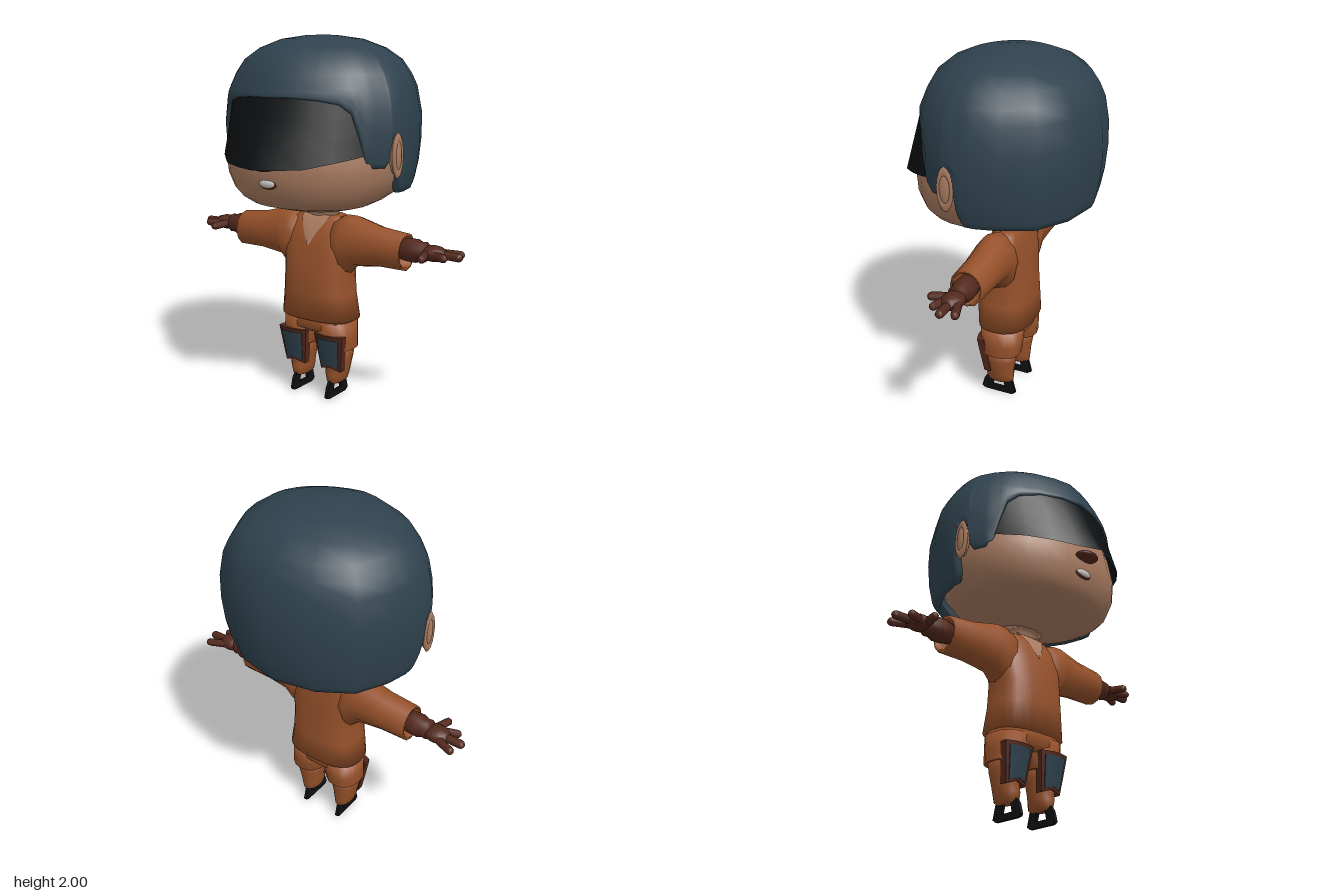
import * as THREE from 'three';
import { mergeGeometries } from 'three/addons/utils/BufferGeometryUtils.js';

const C = { helmet: 0x2f424e, suit: 0x96512a, skin: 0xa87b60, glove: 0x53281c, black: 0x0d1012, teeth: 0xc8c4c0 };
const mat = Object.fromEntries(Object.entries(C).map(([k, color]) =>
  [k, new THREE.MeshStandardMaterial({ color, side: THREE.DoubleSide })]));

// Skin a list of point rows, bottom to top; rows may close round and be capped.
function loft(rows, closed = true, capBottom = closed, capTop = closed) {
  const n = rows[0].length, pos = rows.flat(2), idx = [];
  const m = closed ? n : n - 1;
  for (let i = 0; i < rows.length - 1; i++) for (let j = 0; j < m; j++) {
    const a = i * n + j, b = i * n + (j + 1) % n;
    idx.push(a, b, a + n, b, b + n, a + n);
  }
  const cap = (row, start, up) => {
    const c = pos.length / 3;
    pos.push(...[0, 1, 2].map(k => row.reduce((s, p) => s + p[k], 0) / n));
    for (let j = 0; j < n; j++) {
      const a = start + j, b = start + (j + 1) % n;
      idx.push(...(up ? [a, b, c] : [b, a, c]));
    }
  };
  if (capBottom) cap(rows[0], 0, false);
  if (capTop) cap(rows[rows.length - 1], (rows.length - 1) * n, true);
  const g = new THREE.BufferGeometry();
  g.setAttribute('position', new THREE.Float32BufferAttribute(pos, 3));
  g.setIndex(idx);
  g.computeVertexNormals();
  return g;
}

// Rounded cross-section at height y, p = 2 is an ellipse, higher is boxier.
function ring(y, rx, zf, zb, cx = 0, n = 20, p = 2) {
  const f = v => Math.sign(v) * Math.abs(v) ** (2 / p);
  return Array.from({ length: n }, (_, i) => {
    const a = i / n * Math.PI * 2;
    return [cx + rx * f(Math.sin(a)), y, (zf + zb) / 2 + (zf - zb) / 2 * f(Math.cos(a))];
  });
}

// Cross-section across the arm at x.
const armRing = (x, top, bottom, zf, zb, n = 12) =>
  ring(x, (zf - zb) / 2, top, bottom, (zf + zb) / 2, n).map(([a, b, c]) => [b, c, a]);

function ball(x, y, z, rx, ry, rz) {
  return new THREE.SphereGeometry(1, 14, 10).scale(rx, ry, rz).translate(x, y, z);
}

function finger(from, to, r) {
  const a = new THREE.Vector3(...from), b = new THREE.Vector3(...to), d = b.clone().sub(a);
  const q = new THREE.Quaternion().setFromUnitVectors(new THREE.Vector3(0, 1, 0), d.clone().normalize());
  return new THREE.CapsuleGeometry(r, d.length(), 3, 8).applyQuaternion(q)
    .translate(...a.add(b).multiplyScalar(0.5).toArray());
}

function mirrored(g) {
  const m = g.clone().scale(-1, 1, 1);
  const idx = m.index ? [...m.index.array] : Array.from({ length: m.attributes.position.count }, (_, i) => i);
  for (let i = 0; i < idx.length; i += 3) [idx[i], idx[i + 1]] = [idx[i + 1], idx[i]];
  m.setIndex(idx);
  return m;
}

function helmetGeometry() {
  // Half outline from brow to back: x, z and height of the lower edge.
  const half = [[0, .435, 1.685], [.13, .41, 1.685], [.26, .36, 1.675], [.36, .3, 1.655], [.41, .26, 1.61],
    [.435, .235, 1.5], [.46, .205, 1.36], [.485, .175, 1.34], [.52, .11, 1.34], [.53, .095, 1.37],
    [.535, .085, 1.48], [.545, .05, 1.5], [.55, .02, 1.47], [.552, .01, 1.26], [.555, -.02, 1.2],
    [.555, -.08, 1.2], [.525, -.21, 1.2], [.435, -.39, 1.2], [.25, -.505, 1.2], [0, -.555, 1.2]];
  const cols = [...half, ...half.slice(1, -1).reverse().map(([x, z, y]) => [-x, z, y])];
  const prof = [[1.1, .88], [1.2, .92], [1.37, .985], [1.54, 1], [1.7, .967], [1.8, .88], [1.87, .79],
    [1.93, .63], [1.975, .41], [1.995, .15], [2, 0]];
  const scale = y => {
    const i = Math.max(1, prof.findIndex(p => p[0] >= y)), [a, b] = [prof[i - 1], prof[i]];
    return a[1] + (b[1] - a[1]) * (y - a[0]) / (b[0] - a[0]);
  };
  const row = (height, k = 1) => cols.map(([x, z, yb]) => {
    const y = height(yb), s = scale(y) * k;
    return [x * s, y, -.05 + (z + .05) * s];
  });
  const rows = [row(yb => yb + .03, .9), row(yb => yb, .93), row(yb => yb, .985)];
  for (const t of [.06, .25, .5, .75, 1]) rows.push(row(yb => yb + (1.73 - yb) * t));
  for (const y of [1.8, 1.87, 1.93, 1.975, 1.995]) rows.push(row(() => y));
  return loft(rows, true, false, true);
}

// Curved, tapering plate over the shin.
function padGeometry(wTop, wBottom, y0, y1, depth, z) {
  const g = new THREE.BoxGeometry(1, 1, depth, 6, 3, 1), p = g.attributes.position;
  for (let i = 0; i < p.count; i++) {
    const t = p.getY(i) + .5, x = p.getX(i) * (wBottom + (wTop - wBottom) * t);
    const y = y0 + (y1 - y0) * t - (1 - t) * Math.abs(x) * .3;
    p.setXYZ(i, .122 + x, y, p.getZ(i) + z + (y - .27) * .2 - 2.5 * x * x);
  }
  g.computeVertexNormals();
  return g;
}

export function createModel() {
  const model = new THREE.Group();
  const add = (name, g, m) => {
    const mesh = new THREE.Mesh(g, mat[m]);
    mesh.name = name;
    model.add(mesh);
  };
  const pair = (name, g, m) => {
    add('left' + name, g, m);
    add('right' + name, mirrored(g), m);
  };

  // Head, face and neck
  add('head', loft([[1.065, .08, .03, -.15], [1.085, .22, .2, -.18], [1.115, .33, .32, -.24], [1.15, .4, .37, -.31],
    [1.19, .45, .4, -.39], [1.27, .495, .425, -.45], [1.36, .51, .43, -.47], [1.5, .505, .4, -.47],
    [1.65, .47, .35, -.44], [1.76, .36, .25, -.34]].map(r => ring(...r, 0, 28, 2.1))), 'skin');
  add('neck', loft([[.94, .09, .0, -.15], [1.03, .09, .0, -.15], [1.06, .1, .015, -.16], [1.09, .17, .08, -.2]]
    .map(r => ring(...r))), 'skin');
  add('nose', ball(0, 1.345, .445, .07, .025, .05), 'glove');
  add('lips', ball(0, 1.255, .412, .058, .029, .016), 'glove');
  add('teeth', ball(0, 1.255, .417, .05, .022, .016), 'teeth');
  pair('Ear', mergeGeometries([ball(.53, 1.4, .055, .028, .1, .042),
    new THREE.TorusGeometry(.036, .011, 6, 16).scale(1, 2.5, 1).rotateY(Math.PI / 2).translate(.543, 1.4, .055)]), 'skin');

  // Helmet and visor
  add('helmet', helmetGeometry(), 'helmet');
  const v = [[0, .4, .55, 1.34], [.12, .385, .5, 1.34], [.245, .345, .443, 1.348], [.35, .28, .345, 1.375],
    [.42, .215, .25, 1.395], [.455, .18, .195, 1.41]];
  const vis = [...v.slice(1).reverse().map(([x, ...r]) => [-x, ...r]), ...v];
  vis.push(...v.slice(1));
  vis.splice(0, vis.length, ...v.slice(1).reverse().map(([x, ...r]) => [-x, ...r]), ...v);
  add('visor', loft([0, .33, .67, 1].map(t => vis.map(([x, zt, zb, yb]) =>
    [x * (1 - .06 * t), yb + (1.7 - yb) * t, zb + (zt - zb) * t])), false), 'black');

  // Shirt with wide sleeves and a V neckline
  add('shirt', loft([[.455, .228, .095, -.2], [.6, .203, .11, -.197], [.72, .2, .103, -.188], [.8, .21, .09, -.183],
    [.87, .21, .075, -.178], [.95, .205, .05, -.17], [1.015, .18, .005, -.155], [1.03, .13, -.015, -.15]]
    .map(r => ring(...r, 0, 24, 2.7))), 'suit');
  pair('Sleeve', loft([[.1, 1.015, .74, .05, -.15], [.18, 1.045, .7, .06, -.165], [.24, 1.045, .765, .055, -.16],
    [.385, 1.005, .785, .045, -.15], [.545, .988, .785, .04, -.143], [.545, .97, .803, .027, -.13],
    [.5, .97, .803, .027, -.13]].map(r => armRing(...r))), 'suit');
  add('neckline', loft([[.87, .002, .082], [.95, .045, .057], [1.015, .085, .014], [1.035, .092, -.01]]
    .map(([y, w, z]) => [[-w, y, z - .004], [0, y, z + .001], [w, y, z - .004]]), false), 'skin');

  // Gloves
  const hand = [
    loft([[.49, .05], [.55, .062], [.6, .064], [.625, .052], [.65, .055], [.67, .04]]
      .map(([x, r]) => armRing(x, .9 + r, .9 - r, -.058 + r, -.058 - r))),
    ball(.7, .9, -.06, .075, .042, .06),
    finger([.7, .9, -.09], [.815, .893, -.13], .022),
    finger([.7, .9, -.06], [.838, .897, -.06], .023),
    finger([.7, .9, -.03], [.785, .897, .002], .022),
    finger([.67, .9, -.03], [.695, .893, .062], .022),
  ];
  hand.forEach(g => g.deleteAttribute('uv'));
  pair('Glove', mergeGeometries(hand), 'glove');

  // Trousers and lower legs
  add('hips', loft([[.37, .1, .03, -.14], [.395, .2, .068, -.17], [.48, .215, .075, -.18]]
    .map(r => ring(...r, 0, 20, 2.6))), 'suit');
  pair('TrouserLeg', loft([[.288, .092, .058, -.158, .125], [.288, .1, .062, -.165, .122], [.35, .107, .066, -.17, .114],
    [.44, .11, .07, -.175, .106]].map(r => ring(...r, 16, 2.3))), 'suit');
  pair('Shin', loft([[.08, .03, .015, -.1, .118], [.095, .048, .036, -.124, .118], [.135, .06, .04, -.127, .12],
    [.17, .066, .032, -.128, .122], [.24, .08, .045, -.14, .124], [.31, .088, .05, -.148, .124]]
    .map(r => ring(...r, 14))), 'suit');

  // Knee pads
  pair('KneePadFrame', padGeometry(.188, .13, .185, .375, .042, .038), 'glove');
  pair('KneePadPanel', padGeometry(.142, .105, .2, .355, .02, .053), 'helmet');

  // Skate blades
  const poly = pts => pts.map(([z, y]) => new THREE.Vector2(-z, y));
  const blade = new THREE.Shape(poly([[.07, .015], [.06, .004], [.04, 0], [-.115, 0], [-.138, .015], [-.115, .1],
    [.035, .1], [.055, .07]]));
  blade.holes.push(new THREE.Path(poly([[.005, .035], [-.075, .035], [-.062, .08], [-.005, .08]])));
  pair('SkateBlade', new THREE.ExtrudeGeometry(blade, { depth: .018, bevelEnabled: false })
    .rotateY(Math.PI / 2).translate(.109, 0, 0), 'black');

  return model;
}
